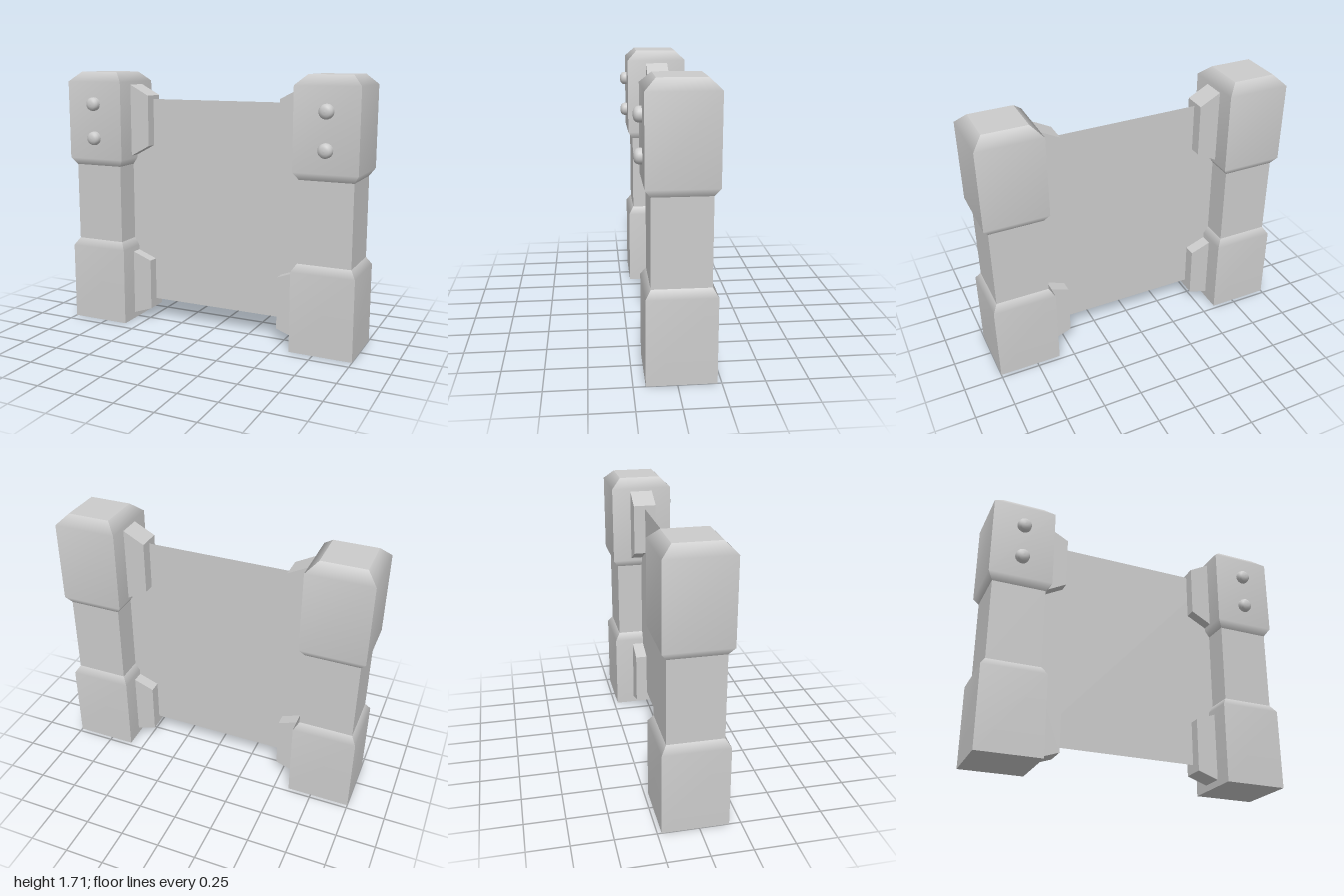
import * as THREE from 'three';
import { mergeGeometries } from 'three/addons/utils/BufferGeometryUtils.js';

const material = new THREE.MeshStandardMaterial({ color: 0xcccccc });
const sheetMaterial = new THREE.MeshStandardMaterial({ color: 0xcccccc, side: THREE.DoubleSide });
const POST_X = 0.8;
const POST_Z = -0.023;

function addMesh(parent, name, geometry, x = 0, y = 0, z = 0, mat = material) {
  const mesh = new THREE.Mesh(geometry, mat);
  mesh.name = name;
  mesh.position.set(x, y, z);
  parent.add(mesh);
  return mesh;
}

// Square block from [halfWidth, y] rings: smooth up each side, sharp at the corners
function squareBlock(rings, capTop, capBottom) {
  const positions = [], index = [], uvs = [];
  rings.forEach(([h, y], i) => {
    positions.push(-h, y, h, h, y, h);
    uvs.push(0, i, 1, i);
    if (i) {
      const a = 2 * i - 2;
      index.push(a, a + 1, a + 3, a, a + 3, a + 2);
    }
  });
  const side = new THREE.BufferGeometry();
  side.setAttribute('position', new THREE.Float32BufferAttribute(positions, 3));
  side.setAttribute('uv', new THREE.Float32BufferAttribute(uvs, 2));
  side.setIndex(index);
  side.computeVertexNormals();
  const parts = [0, 1, 2, 3].map((k) => side.clone().rotateY((k * Math.PI) / 2));
  const cap = ([h, y], turn) =>
    parts.push(new THREE.PlaneGeometry(2 * h, 2 * h).rotateX(turn).translate(0, y, 0));
  if (capTop) cap(rings[rings.length - 1], -Math.PI / 2);
  if (capBottom) cap(rings[0], Math.PI / 2);
  return mergeGeometries(parts);
}

// Tapered bracket outline, wide against the post and narrow towards the panel
function bracketGeometry(side, outerLow, outerHigh, innerLow, innerHigh) {
  const shape = new THREE.Shape([
    new THREE.Vector2(side * 0.61, outerLow),
    new THREE.Vector2(side * 0.6, outerLow),
    new THREE.Vector2(side * 0.463, innerLow),
    new THREE.Vector2(side * 0.463, innerHigh),
    new THREE.Vector2(side * 0.6, outerHigh),
    new THREE.Vector2(side * 0.61, outerHigh),
  ]);
  return new THREE.ExtrudeGeometry(shape, { depth: 0.15, bevelEnabled: false });
}

export function createModel() {
  const model = new THREE.Group();
  model.name = 'panelBetweenPosts';

  const base = squareBlock([[0.202, 0], [0.202, 0.515], [0.17, 0.565]], false, true);
  const shaft = squareBlock([[0.17, 0.565], [0.17, 1.083]], false, false);
  const head = squareBlock([[0.17, 1.083], [0.202, 1.13], [0.202, 1.643], [0.137, 1.706]], true, false);

  // Round-topped stud pointing forwards
  const stud = new THREE.LatheGeometry(
    [[0.045, -0.01], [0.045, 0.018], [0.041, 0.031], [0.031, 0.041], [0.016, 0.046], [0, 0.047]]
      .map(([r, h]) => new THREE.Vector2(r, h)), 24).rotateX(Math.PI / 2);

  for (const side of [-1, 1]) {
    const post = new THREE.Group();
    post.name = side > 0 ? 'leftPost' : 'rightPost';
    model.add(post);
    const x = side * (POST_X - 0.002);
    addMesh(post, 'postBase', base, x, 0, POST_Z);
    addMesh(post, 'postShaft', shaft, x, 0, POST_Z);
    addMesh(post, 'postHead', head, x, 0, POST_Z);
    for (const y of [1.27, 1.497]) addMesh(post, 'stud', stud, side * POST_X, y, 0.179);
    addMesh(post, 'upperBracket', bracketGeometry(side, 1.147, 1.625, 1.22, 1.553), 0, 0, -0.1);
    addMesh(post, 'lowerBracket', bracketGeometry(side, 0.04, 0.482, 0.088, 0.43), 0, 0, -0.1);
  }

  // Thin sheet stretched between the posts
  addMesh(model, 'panel', new THREE.PlaneGeometry(1.28, 1.387), 0, 0.835, POST_Z, sheetMaterial);
  return model;
}
